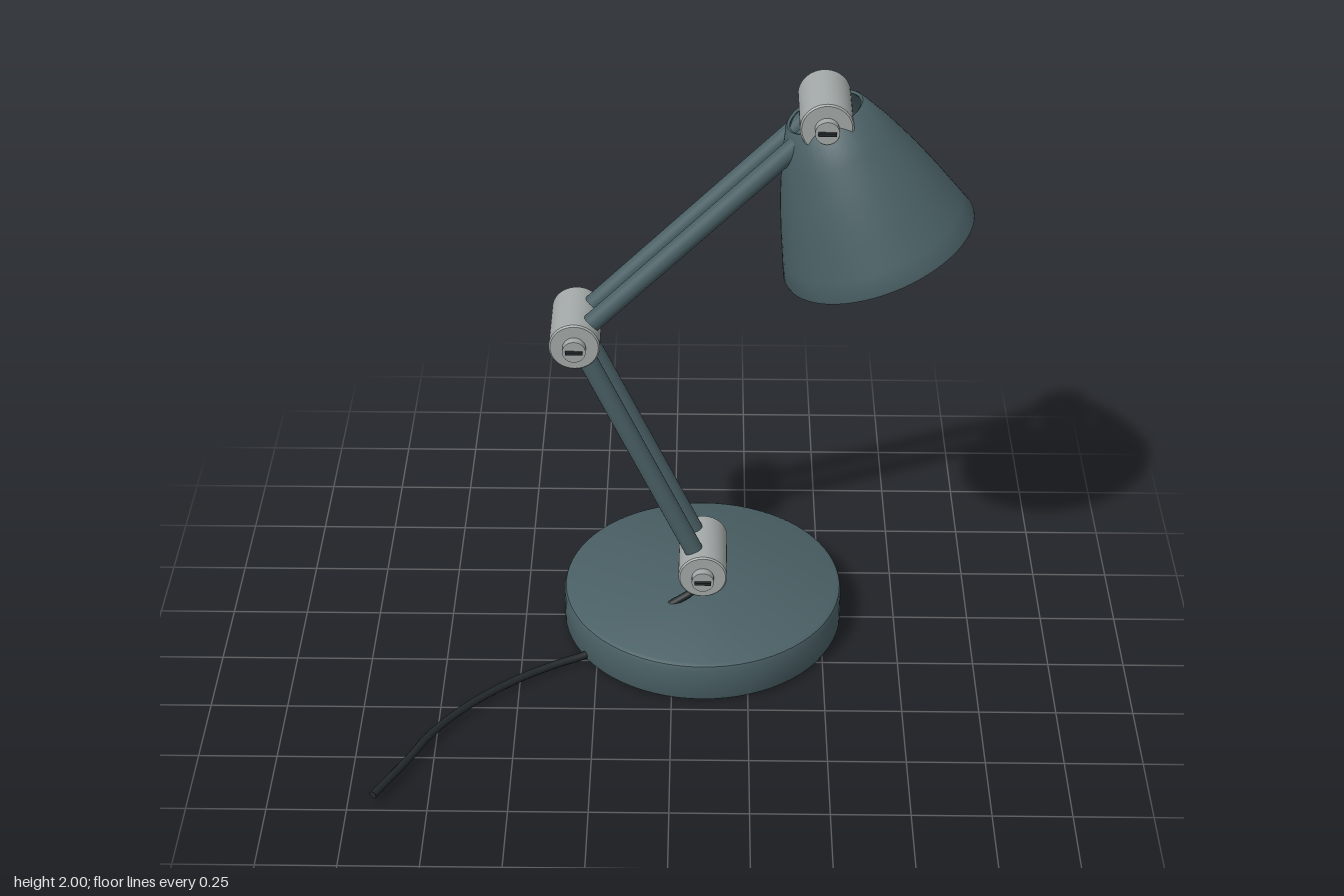
import * as THREE from 'three';
import { toCreasedNormals } from 'three/addons/utils/BufferGeometryUtils.js';

const material = (name, color) => {
  const m = new THREE.MeshStandardMaterial({ color });
  m.name = name;
  return m;
};

export function createModel() {
  const lamp = new THREE.Group();
  lamp.name = 'deskLamp';
  const paint = material('tealPaint', 0x4a6065);
  const metal = material('greyMetal', 0xa3a9a8);
  const glass = material('bulbGlass', 0xdfe6e0);
  const rubber = material('blackRubber', 0x22282a);
  const Z = -0.26; // depth of the lamp's centre plane

  const add = (parent, name, geometry, mat, x = 0, y = 0, z = 0) => {
    const mesh = new THREE.Mesh(geometry, mat);
    mesh.name = name;
    mesh.position.set(x, y, z);
    parent.add(mesh);
    return mesh;
  };
  const lathe = (points, segments = 48) => toCreasedNormals(
    new THREE.LatheGeometry(points.map(([r, y]) => new THREE.Vector2(r, y)), segments), 0.6);

  // Round base with softened edges
  add(lamp, 'base', lathe([
    [0, 0.005], [0.45, 0.005], [0.462, 0.01], [0.467, 0.022],
    [0.467, 0.13], [0.462, 0.143], [0.45, 0.15], [0, 0.15],
  ], 72), paint, 0.1, 0, Z);

  // Joints: a barrel with a slotted bolt at each end
  const joints = [[0.1, 0.25], [-0.31, 1.146], [0.46, 1.919]];
  const barrel = lathe([
    [0, -0.122], [0.076, -0.122], [0.081, -0.117], [0.081, 0.117], [0.076, 0.122], [0, 0.122],
  ]).rotateX(Math.PI / 2);
  const bolt = new THREE.CylinderGeometry(0.037, 0.037, 0.03, 24).rotateX(Math.PI / 2);
  const slot = new THREE.BoxGeometry(0.055, 0.01, 0.016);
  joints.forEach(([x, y], i) => {
    const joint = new THREE.Group();
    joint.name = ['baseJoint', 'elbowJoint', 'headJoint'][i];
    joint.position.set(x, y, Z);
    add(joint, 'barrel', barrel, metal);
    for (const side of [-1, 1]) {
      add(joint, 'bolt', bolt, metal, 0, 0, side * 0.135);
      add(joint, 'boltSlot', slot, rubber, 0, 0, side * 0.152);
    }
    lamp.add(joint);
  });

  // Paired arm rods between neighbouring joints
  for (let i = 0; i < 2; i++) {
    const a = new THREE.Vector2(...joints[i]), b = new THREE.Vector2(...joints[i + 1]);
    const d = b.clone().sub(a);
    const rod = new THREE.CylinderGeometry(0.031, 0.031, d.length(), 24);
    for (const side of [-1, 1]) {
      const mesh = add(lamp, i ? 'upperArmRod' : 'lowerArmRod', rod, paint,
        (a.x + b.x) / 2, (a.y + b.y) / 2, Z + side * 0.058);
      mesh.rotation.z = d.angle() - Math.PI / 2;
    }
  }

  // Tilted head; its origin is the centre of the shade rim
  const head = new THREE.Group();
  head.name = 'head';
  head.position.set(0.64, 1.455, Z);
  head.rotation.z = 0.379;
  lamp.add(head);

  // Hollow shade, open at both ends
  add(head, 'shade', lathe([
    [0.298, 0.004], [0.305, 0], [0.313, 0.004], [0.314, 0.012], [0.295, 0.07], [0.263, 0.17],
    [0.226, 0.275], [0.178, 0.39], [0.128, 0.49], [0.122, 0.495], [0.114, 0.49],
    [0.165, 0.39], [0.213, 0.275], [0.25, 0.17], [0.282, 0.07], [0.298, 0.004],
  ], 64), paint);

  // Socket and bulb
  add(head, 'socket', new THREE.CylinderGeometry(0.045, 0.05, 0.17, 24), metal, 0, 0.385);
  const bulb = [];
  for (let i = 0; i <= 14; i++) {
    const t = -Math.PI / 2 + (i / 14) * 2.2;
    bulb.push([Math.max(0, 0.108 * Math.cos(t)), 0.13 + 0.108 * Math.sin(t)]);
  }
  bulb.push([0.06, 0.25], [0.042, 0.3], [0.042, 0.33]);
  add(head, 'bulb', lathe(bulb), glass);

  // Power cable from the lower joint, through the base and across the table
  const cable = new THREE.CatmullRomCurve3([
    [0.1, 0.2, -0.18], [0.06, 0.175, -0.155], [0, 0.145, -0.135], [-0.12, 0.08, -0.09],
    [-0.28, 0.03, -0.005], [-0.38, 0.026, 0.045], [-0.5, 0.028, 0.125], [-0.64, 0.034, 0.255],
    [-0.76, 0.036, 0.41], [-0.83, 0.036, 0.55], [-0.92, 0.036, 0.715],
  ].map((p) => new THREE.Vector3(...p)));
  add(lamp, 'cable', new THREE.TubeGeometry(cable, 80, 0.013, 10), rubber);
  const plug = add(lamp, 'cableEnd', new THREE.CircleGeometry(0.013, 10), rubber);
  plug.position.copy(cable.getPoint(1));
  plug.lookAt(plug.position.clone().add(cable.getTangent(1)));

  return lamp;
}
